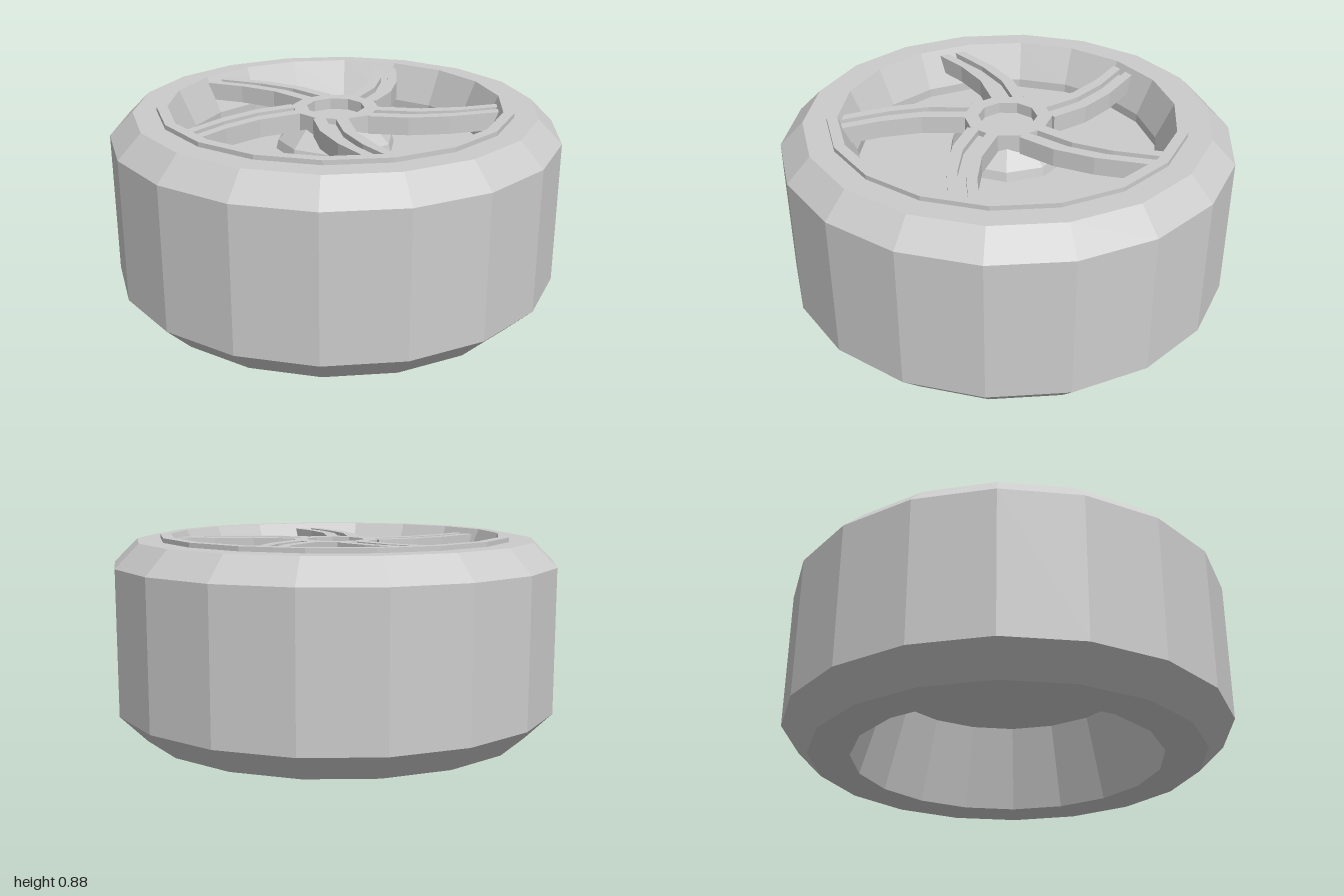
import * as THREE from 'three';

const material = new THREE.MeshStandardMaterial({ color: 0xcccccc, flatShading: true });

function part(name, geometry) {
  const mesh = new THREE.Mesh(geometry, material);
  mesh.name = name;
  return mesh;
}

// Revolved [radius, y] profile with a corner on the x axis
function turned(name, profile, sides) {
  const points = profile.map(([r, y]) => new THREE.Vector2(r, y));
  const start = Math.PI / 2 - Math.floor(sides / 4) * (2 * Math.PI / sides);
  return part(name, new THREE.LatheGeometry(points, sides, start));
}

// Plan outline (x, -z) extruded from y0 up to y1
function slab(name, shape, y0, y1) {
  const g = new THREE.ExtrudeGeometry(shape, { depth: y1 - y0, bevelEnabled: false });
  g.rotateX(-Math.PI / 2).translate(0, y0, 0);
  return part(name, g);
}

function polygon(radius, sides) {
  return Array.from({ length: sides }, (_, i) => {
    const a = Math.PI / 2 + i * 2 * Math.PI / sides;
    return new THREE.Vector2(radius * Math.cos(a), radius * Math.sin(a));
  });
}

// Two edges of a swept spoke, from hub to rim
const leftEdge = [[-0.02, 0.16], [-0.02, 0.38], [-0.065, 0.555], [-0.14, 0.725]];
const rightEdge = [[0.128, 0.16], [0.128, 0.335], [0.085, 0.51], [-0.012, 0.735]];

// Strip of the spoke between two fractions of its width
function strip(a, b) {
  const at = t => leftEdge.map(([x, y], i) => new THREE.Vector2(
    x + (rightEdge[i][0] - x) * t, y + (rightEdge[i][1] - y) * t));
  return new THREE.Shape([...at(b), ...at(a).reverse()]);
}

function makeSpoke() {
  const spoke = new THREE.Group();
  spoke.name = 'spoke';
  spoke.add(
    slab('spokeWeb', strip(0, 1), 0.78, 0.835),
    slab('spokeRib', strip(0, 0.36), 0.78, 0.86),
    slab('spokeRib', strip(0.64, 1), 0.78, 0.86));
  return spoke;
}

export function createModel() {
  const wheel = new THREE.Group();
  wheel.name = 'wheel';

  // Tyre with bevelled shoulders and a recessed back
  wheel.add(turned('tyre', [[0, 0.39], [0.58, 0.39], [0.695, 0], [0.88, 0], [1, 0.12],
    [1, 0.76], [0.895, 0.865], [0.78, 0.865]], 18));

  // Raised rim lip, sloping inner wall and floor
  wheel.add(turned('rim', [[0.79, 0.86], [0.79, 0.885], [0.743, 0.885],
    [0.668, 0.72], [0.668, 0.68], [0, 0.68]], 18));

  // Flared hub core and the open ring above it
  wheel.add(turned('hubCore', [[0.27, 0.68], [0.26, 0.72], [0.17, 0.81], [0, 0.81]], 10));
  const ring = new THREE.Shape(polygon(0.195, 10));
  ring.holes.push(new THREE.Path(polygon(0.13, 10)));
  wheel.add(slab('hubRing', ring, 0.78, 0.86));

  // Five swept spokes
  for (let i = 0; i < 5; i++) {
    const spoke = makeSpoke();
    spoke.rotation.y = i * 2 * Math.PI / 5;
    wheel.add(spoke);
  }
  return wheel;
}
